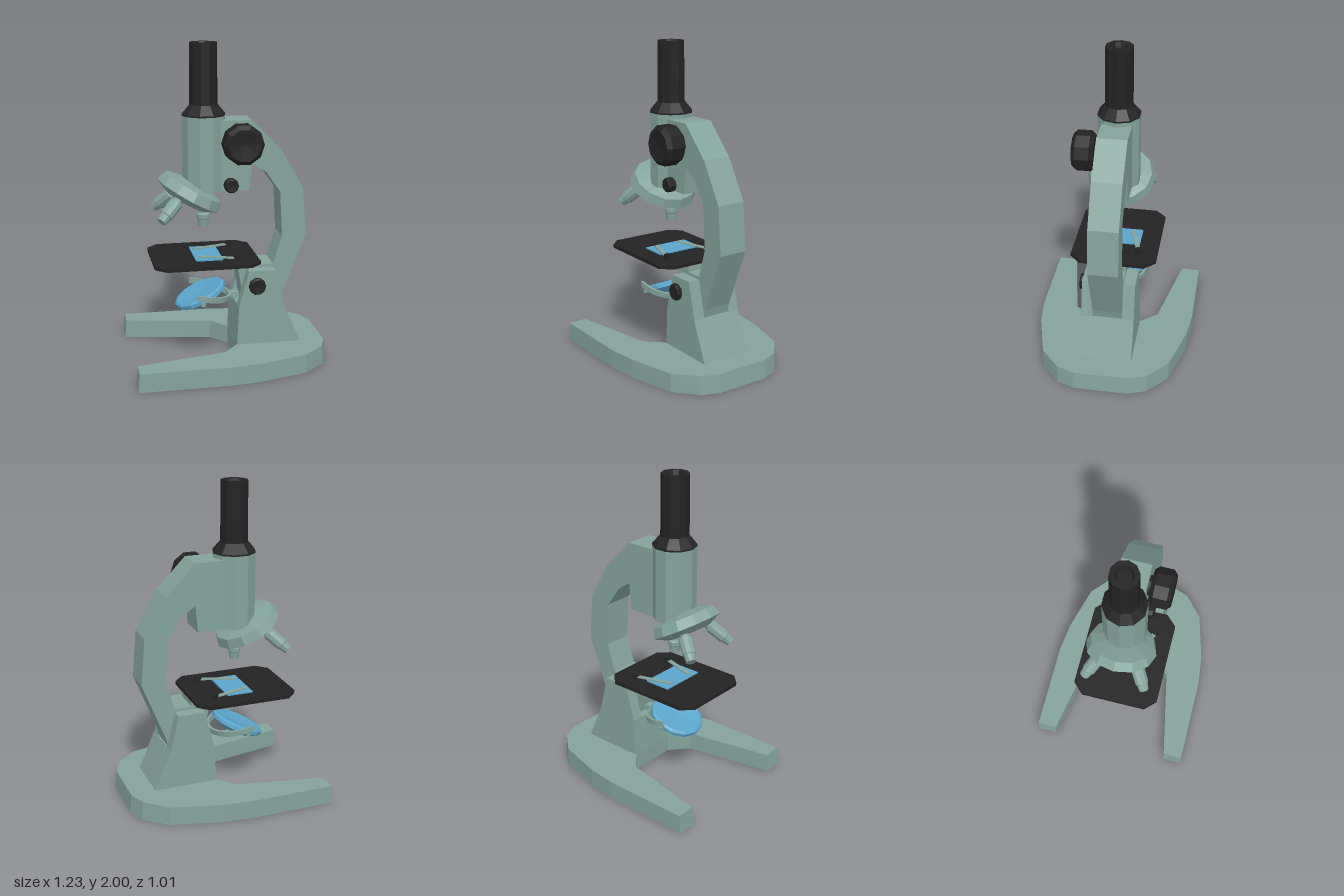
import * as THREE from 'three';

const green = new THREE.MeshStandardMaterial({ color: 0x83a39b });
green.name = 'sage enamel';
const black = new THREE.MeshStandardMaterial({ color: 0x232323 });
black.name = 'black';
const blue = new THREE.MeshStandardMaterial({ color: 0x5aa5cb });
blue.name = 'blue glass';

// Flat-faced copy of a geometry
function faceted(geo) {
  const g = geo.index ? geo.toNonIndexed() : geo;
  g.computeVertexNormals();
  return g;
}

function part(parent, name, geo, mat, x = 0, y = 0, z = 0) {
  const m = new THREE.Mesh(faceted(geo), mat);
  m.name = name;
  m.position.set(x, y, z);
  parent.add(m);
  return m;
}

// Side profile (x, y) extruded in z between z0 and z1
function slab(pts, z0, z1) {
  const shape = new THREE.Shape(pts.map(p => new THREE.Vector2(...p)));
  return new THREE.ExtrudeGeometry(shape, { depth: z1 - z0, bevelEnabled: false }).translate(0, 0, z0);
}

// Symmetric plan outline: half is listed as (x, z) with z > 0, extruded in y
function plan(half, y0, y1) {
  const pts = [...half, ...half.map(([x, z]) => [x, -z]).reverse()];
  return slab(pts, y0, y1).rotateX(-Math.PI / 2);
}

// Turned solid around y, profile from bottom to top as (radius, y)
function turned(pts, sides = 10) {
  return new THREE.LatheGeometry(pts.map(p => new THREE.Vector2(...p)), sides, Math.PI / 2);
}

// Bevelled knob whose axis runs along +z
function knob(r, z0, z1) {
  const b = Math.min(r * 0.2, (z1 - z0) * 0.25);
  return turned([[0, z0], [r - b, z0], [r, z0 + b], [r, z1 - b], [r - b, z1], [0, z1 - b * 0.4]]).rotateX(Math.PI / 2);
}

export function createModel() {
  const model = new THREE.Group();
  model.name = 'microscope';

  // Horseshoe base, slightly tapered towards the top
  const base = plan([
    [0.04, 0.16], [-0.06, 0.275], [-0.62, 0.385], [-0.62, 0.507], [-0.06, 0.507], [0.13, 0.485],
    [0.43, 0.405], [0.57, 0.283], [0.612, 0.17],
  ], 0, 0.118);
  const p = base.attributes.position;
  for (let i = 0; i < p.count; i++) if (p.getY(i) > 0.05) p.setX(i, p.getX(i) * 0.985);
  part(model, 'base', base, green);

  // Pillar: solid foot with two ears that hold the arm
  part(model, 'pillarFoot', slab([[0.04, 0.11], [0.45, 0.11], [0.34, 0.365], [0.052, 0.365]], -0.168, 0.168), green);
  for (const s of [-1, 1]) {
    const [a, b] = s > 0 ? [0.093, 0.168] : [-0.168, -0.093];
    part(model, 'pillarEar', slab([[0.052, 0.365], [0.34, 0.365], [0.285, 0.597], [0.115, 0.597]], a, b), green);
  }
  part(model, 'tiltKnob', knob(0.054, 0.165, 0.2), black, 0.165, 0.503, 0);

  // Curved arm, from the stage bracket up to the body tube
  part(model, 'arm', slab([
    [0.10, 0.36], [0.33, 0.36], [0.345, 0.42], [0.495, 0.80], [0.47, 1.10], [0.33, 1.345], [0.145, 1.535],
    [-0.06, 1.535], [-0.06, 1.10], [0.13, 1.10], [0.145, 1.27], [0.235, 1.21], [0.325, 1.08],
    [0.34, 0.795], [0.285, 0.617], [0.175, 0.617], [0.175, 0.657], [0.05, 0.657],
  ], -0.093, 0.093), green);

  // Focus knobs
  part(model, 'focusShaft', new THREE.CylinderGeometry(0.06, 0.06, 0.05, 10).rotateX(Math.PI / 2), black, 0.07, 1.405, 0.105);
  part(model, 'coarseKnob', knob(0.125, 0.11, 0.245), black, 0.07, 1.405, 0);
  part(model, 'fineKnob', knob(0.045, 0.09, 0.148), black, 0.01, 1.14, 0);

  // Body tube and eyepiece
  part(model, 'bodyTube', turned([[0, 1.10], [0.135, 1.10], [0.135, 1.56], [0, 1.56]]), green, -0.14);
  part(model, 'eyepiece', turned([
    [0, 1.555], [0.135, 1.56], [0.135, 1.57], [0.087, 1.627], [0.085, 2], [0.055, 2], [0.045, 1.97], [0, 1.97],
  ]), black, -0.14);

  // Tilted revolving nosepiece with three objectives
  const nose = new THREE.Group();
  nose.name = 'nosepiece';
  nose.position.set(-0.24, 1.06, 0);
  nose.rotation.z = -Math.PI / 6;
  model.add(nose);
  part(nose, 'turret', turned([[0, -0.035], [0.14, -0.035], [0.22, 0.005], [0.2, 0.065], [0.1, 0.09], [0, 0.09]], 12), green);
  [0.125, 0.205, 0.205].forEach((len, i) => {
    const arm = new THREE.Group();
    arm.name = 'objectiveMount';
    arm.rotation.y = i * Math.PI * 2 / 3;
    nose.add(arm);
    const lens = part(arm, 'objective', turned([
      [0, -0.03], [0.03, -0.03], [0.03, 0.04], [0.043, 0.05], [0.042, len - 0.05],
      [0.036, len - 0.045], [0.03, len], [0, len],
    ]), green, 0.117, -0.013, 0);
    lens.rotation.z = Math.PI * 7 / 6;
  });

  // Stage with glass slide and spring clips
  part(model, 'stage', plan([[-0.477, 0.205], [-0.41, 0.273], [0.112, 0.273], [0.18, 0.205]], 0.655, 0.676), black);
  part(model, 'slide', new THREE.BoxGeometry(0.17, 0.008, 0.3), blue, -0.13, 0.68, 0);
  for (const s of [-1, 1]) {
    const clip = part(model, 'stageClip', new THREE.BoxGeometry(0.25, 0.007, 0.028), green, -0.075, 0.688, s * 0.12);
    clip.rotation.y = s * -0.3;
    part(model, 'clipScrew', new THREE.CylinderGeometry(0.022, 0.022, 0.034, 8), black, 0.04, 0.69, s * 0.155);
  }

  // Round mirror, tipped towards the open end of the base
  const mirror = part(model, 'mirror', turned([
    [0, -0.045], [0.11, -0.038], [0.172, -0.005], [0.172, 0.018], [0.155, 0.028], [0, 0.012],
  ], 12), blue, -0.165, 0.41, 0);
  mirror.rotation.z = 0.43;

  // Half-ring yoke that carries the mirror
  const yoke = new THREE.Shape();
  yoke.absarc(0, 0, 0.192, -Math.PI / 2, Math.PI / 2, false);
  yoke.lineTo(-0.05, 0.192);
  yoke.lineTo(-0.05, 0.176);
  yoke.absarc(0, 0, 0.176, Math.PI / 2, -Math.PI / 2, true);
  yoke.lineTo(-0.05, -0.176);
  yoke.lineTo(-0.05, -0.192);
  const ring = new THREE.ExtrudeGeometry(yoke, { depth: 0.035, bevelEnabled: false, curveSegments: 8 });
  const fork = part(model, 'mirrorYoke', ring.rotateX(-Math.PI / 2), green, -0.165, 0.42, 0);
  fork.rotation.z = -0.2;
  part(model, 'yokeStem', new THREE.BoxGeometry(0.07, 0.035, 0.05), green, 0.045, 0.4, 0);
  const pivot = new THREE.CylinderGeometry(0.015, 0.015, 0.38, 8).rotateX(Math.PI / 2);
  part(model, 'mirrorPivot', pivot, green, -0.175, 0.425 - 0.02, 0);

  return model;
}
